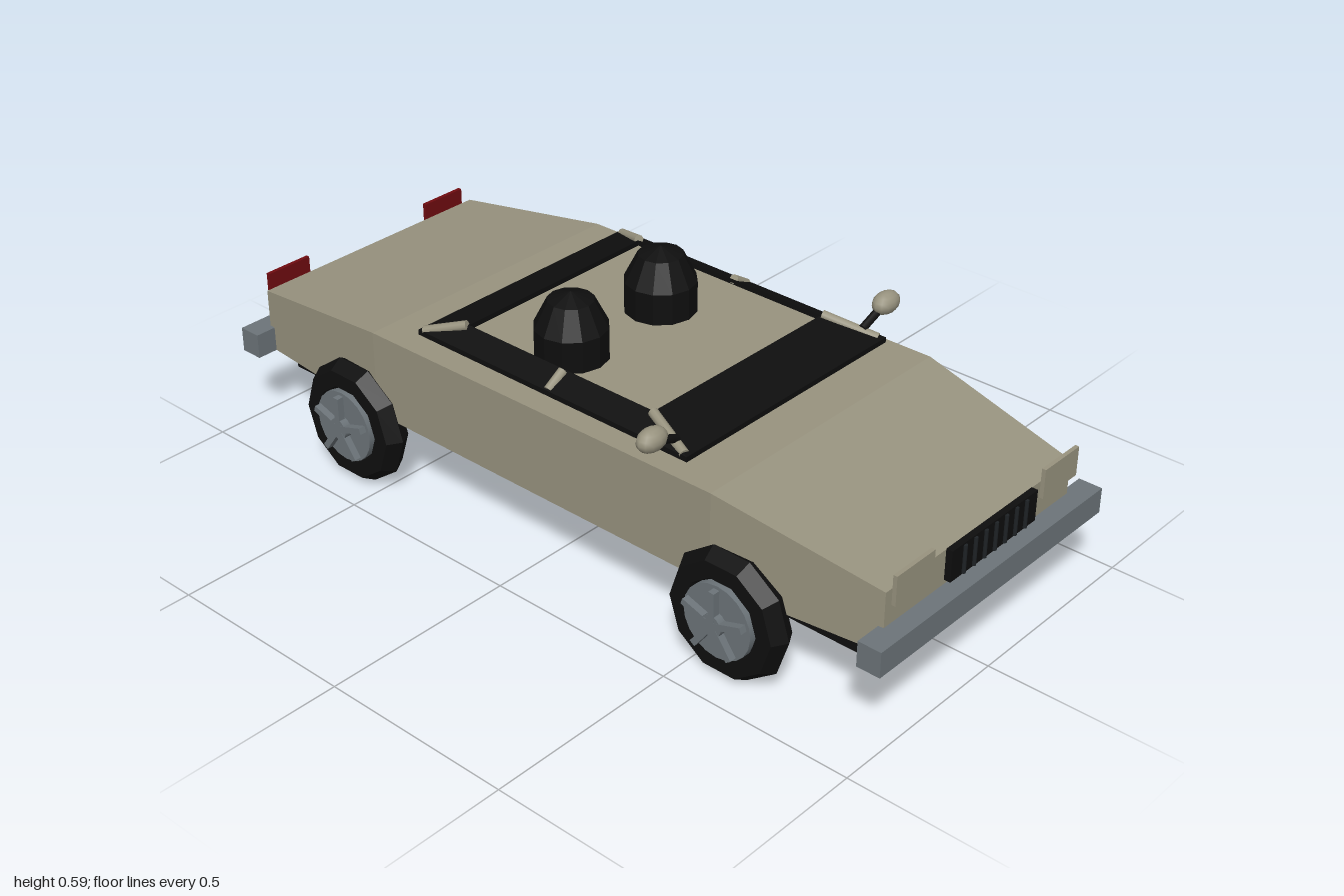
import * as THREE from 'three';

const paint = (name, color) => {
  const m = new THREE.MeshStandardMaterial({ color });
  m.name = name;
  return m;
};

// Joins four-cornered rings (each counterclockwise about the direction of travel) into a closed solid.
function loft(rings) {
  const pos = [];
  const quad = (a, b, c, d) => pos.push(...a, ...b, ...c, ...a, ...c, ...d);
  for (let k = 0; k < rings.length - 1; k++) {
    const a = rings[k], b = rings[k + 1];
    for (let i = 0; i < 4; i++) {
      const j = (i + 1) % 4;
      quad(a[i], a[j], b[j], b[i]);
    }
  }
  const s = rings[0], e = rings[rings.length - 1];
  quad(s[3], s[2], s[1], s[0]);
  quad(e[0], e[1], e[2], e[3]);
  const g = new THREE.BufferGeometry();
  g.setAttribute('position', new THREE.Float32BufferAttribute(pos, 3));
  g.computeVertexNormals();
  return g;
}

export function createModel() {
  const car = new THREE.Group();
  car.name = 'car';
  const tan = paint('tan paint', 0x98937f);
  const black = paint('black', 0x0e0e0e);
  const grey = paint('grey metal', 0x6c7479);
  const slatGrey = paint('dark slat', 0x1e2225);
  const red = paint('red lamp', 0x700c10);

  const add = (parent, name, geo, mat, x = 0, y = 0, z = 0) => {
    const m = new THREE.Mesh(geo, mat);
    m.name = name;
    m.position.set(x, y, z);
    parent.add(m);
    return m;
  };
  const box = (name, mat, x, y, z, w, h, d) =>
    add(car, name, new THREE.BoxGeometry(w, h, d), mat, x, y, z);
  const rod = (name, mat, from, to, r) => {
    const a = new THREE.Vector3(...from), b = new THREE.Vector3(...to);
    const m = add(car, name, new THREE.CylinderGeometry(r, r, a.distanceTo(b), 10), mat);
    m.position.copy(a).add(b).multiplyScalar(0.5);
    m.quaternion.setFromUnitVectors(new THREE.Vector3(0, 1, 0), b.sub(a).normalize());
  };

  // Body shell: half width and top height at each station from tail to nose
  const stations = [[-0.957, 0.35, 0.362], [-0.52, 0.388, 0.421], [0.53, 0.388, 0.43], [0.953, 0.337, 0.352]];
  add(car, 'body', loft(stations.map(([z, w, t]) =>
    [[-w, 0.2, z], [w, 0.2, z], [w, t, z], [-w, t, z]])), tan);
  box('underbody', black, 0, 0.181, 0, 0.654, 0.04, 1.78);

  // Bumpers
  for (const s of [1, -1]) {
    box(s > 0 ? 'frontBumper' : 'rearBumper', grey, 0, 0.232, s * 0.97, 0.814, 0.064, 0.06);
  }

  // Grille with upright slats
  box('grille', black, 0, 0.336, 0.978, 0.312, 0.078, 0.016);
  for (let i = -3; i <= 3; i++) {
    add(car, 'grilleSlat', new THREE.CylinderGeometry(0.005, 0.005, 0.07, 8), slatGrey, i * 0.0375, 0.336, 0.988);
  }

  // Ring of low sloping window panels, open in the middle
  const outer = [[-0.35, 0.43], [0.35, 0.43], [0.35, -0.4], [-0.35, -0.4]];
  const inner = [[-0.29, 0.283], [0.29, 0.283], [0.29, -0.29], [-0.29, -0.29]];
  ['windshield', 'leftWindow', 'rearWindow', 'rightWindow'].forEach((name, i) => {
    const j = (i + 1) % 4;
    const ring = (lift) => [
      ...[outer[i], outer[j]].map(([x, z]) => [x, 0.446 + lift, z]),
      ...[inner[j], inner[i]].map(([x, z]) => [x, 0.474 + lift, z]),
    ];
    add(car, name, loft([ring(0), ring(0.013)]), black);
  });

  // Dome seats
  const seatProfile = [[0.09, 0.425], [0.09, 0.505], [0.056, 0.573], [0, 0.593]]
    .map(([r, y]) => new THREE.Vector2(r, y));
  const seatGeo = new THREE.LatheGeometry(seatProfile, 12).toNonIndexed();
  seatGeo.computeVertexNormals();

  // Parts that come in mirrored pairs
  for (const s of [1, -1]) {
    const side = s > 0 ? 'left' : 'right';
    box(side + 'Headlight', tan, s * 0.266, 0.361, 0.969, 0.13, 0.074, 0.01);
    box(side + 'Taillight', red, s * 0.266, 0.36, -0.973, 0.13, 0.074, 0.01);
    add(car, side + 'Seat', seatGeo, black, s * 0.154, 0, -0.094);

    rod(side + 'FrontPillar', tan, [s * 0.34, 0.456, 0.415], [s * 0.295, 0.488, 0.285], 0.012);
    rod(side + 'MiddlePillar', tan, [s * 0.343, 0.456, 0.015], [s * 0.295, 0.486, 0.015], 0.012);
    rod(side + 'RearPillar', tan, [s * 0.34, 0.456, -0.39], [s * 0.295, 0.488, -0.292], 0.012);

    rod(side + 'MirrorStalk', black, [s * 0.325, 0.474, 0.38], [s * 0.39, 0.5, 0.38], 0.01);
    const mirror = add(car, side + 'Mirror', new THREE.SphereGeometry(0.028, 12, 8), tan, s * 0.408, 0.511, 0.383);
    mirror.scale.x = 1.5;
  }

  // Wheels: six-sided tyre section, hub disc and five spokes, built with +x facing outwards
  const tyreGeo = new THREE.TorusGeometry(0.121, 0.041, 6, 10).toNonIndexed();
  tyreGeo.rotateY(Math.PI / 2);
  tyreGeo.computeVertexNormals();
  const discGeo = new THREE.CylinderGeometry(0.093, 0.093, 0.09, 20).rotateZ(Math.PI / 2);
  const hubGeo = new THREE.CylinderGeometry(0.028, 0.028, 0.117, 12).rotateZ(Math.PI / 2);
  const spokeGeo = new THREE.BoxGeometry(0.018, 0.086, 0.016).translate(0.056, 0.043, 0);
  for (const z of [0.592, -0.595]) {
    for (const s of [1, -1]) {
      const wheel = new THREE.Group();
      wheel.name = (z > 0 ? 'front' : 'rear') + (s > 0 ? 'Left' : 'Right') + 'Wheel';
      wheel.position.set(s * 0.39, 0.154, z);
      if (s < 0) wheel.rotation.y = Math.PI;
      add(wheel, 'tyre', tyreGeo, black);
      add(wheel, 'disc', discGeo, grey);
      add(wheel, 'hub', hubGeo, grey, 0.006);
      for (let i = 0; i < 5; i++) {
        add(wheel, 'spoke', spokeGeo, grey).rotation.x = (i * Math.PI * 2) / 5;
      }
      car.add(wheel);
    }
  }
  return car;
}
